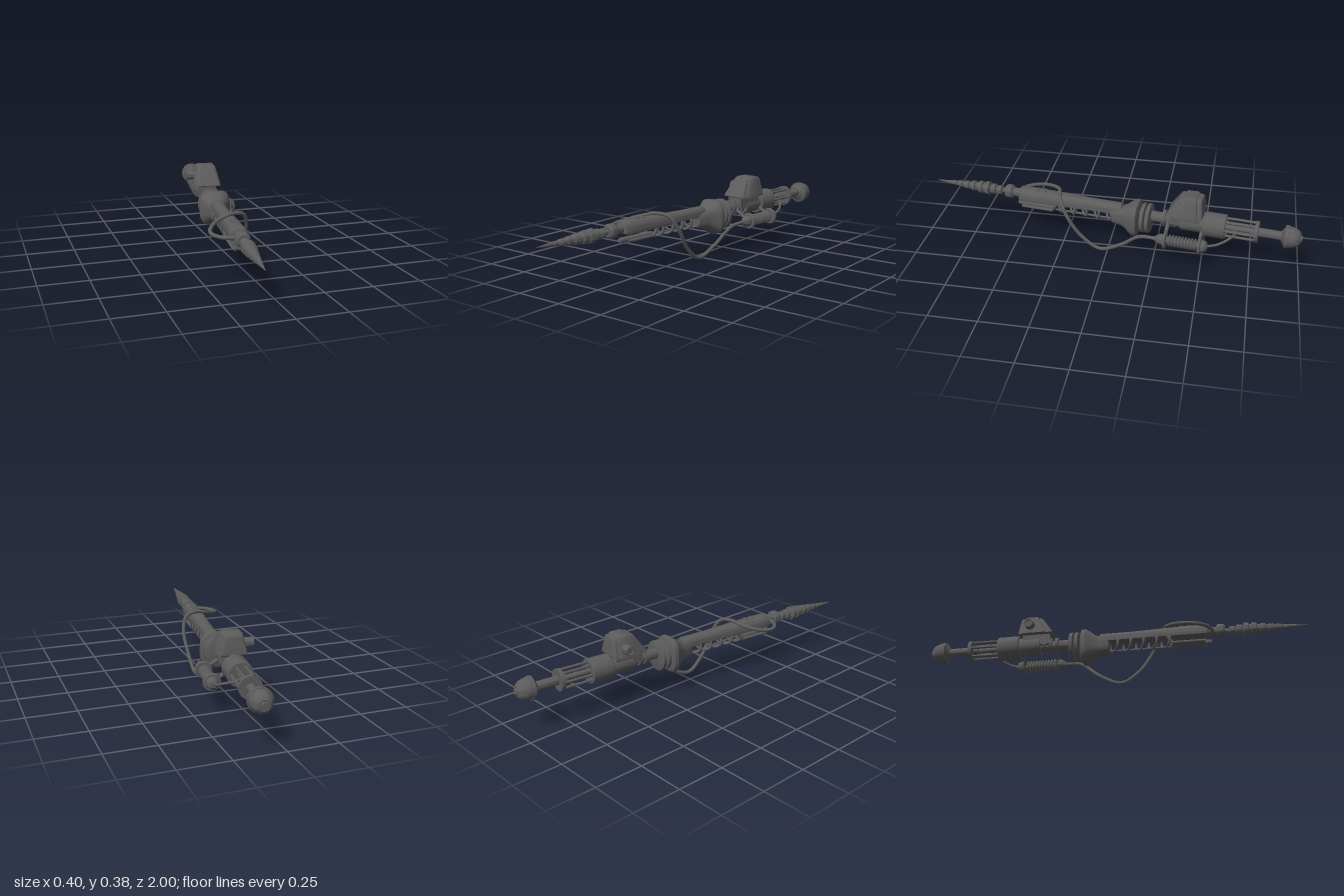
import * as THREE from 'three';
import { toCreasedNormals, mergeVertices } from 'three/addons/utils/BufferGeometryUtils.js';

const darkGrey = new THREE.MeshStandardMaterial({ color: 0x5c5c5c, side: THREE.DoubleSide });

function add(parent, name, geo, x = 0, y = 0, z = 0) {
  const m = new THREE.Mesh(geo, darkGrey);
  m.name = name;
  m.position.set(x, y, z);
  parent.add(m);
  return m;
}

// Turned part along z from [z, radius] pairs, rear to front
function turned(profile, sides = 28) {
  const pts = profile.map(([z, r]) => new THREE.Vector2(Math.max(r, 0.0001), z));
  return toCreasedNormals(new THREE.LatheGeometry(pts, sides).rotateX(Math.PI / 2), 0.6);
}

const rod = (r, z0, z1, sides = 20) => turned([[z0, 0], [z0, r], [z1, r], [z1, 0]], sides);

// Tube between two points
function strut(parent, name, a, b, r) {
  const path = new THREE.LineCurve3(new THREE.Vector3(...a), new THREE.Vector3(...b));
  return add(parent, name, new THREE.TubeGeometry(path, 1, r, 10));
}

// Hose whose radius dips in regular grooves
function ribbedHose(points, r, ribs) {
  const curve = new THREE.CatmullRomCurve3(points.map(p => new THREE.Vector3(...p)), false, 'centripetal');
  const n = ribs * 4, sides = 12;
  const geo = new THREE.TubeGeometry(curve, n, r, sides);
  const pos = geo.attributes.position, v = new THREE.Vector3();
  for (let i = 0; i <= n; i++) {
    const c = curve.getPointAt(i / n), k = i % 4 === 0 ? 0.86 : 1;
    for (let j = 0; j <= sides; j++) {
      const id = i * (sides + 1) + j;
      v.fromBufferAttribute(pos, id).sub(c).multiplyScalar(k).add(c);
      pos.setXYZ(id, v.x, v.y, v.z);
    }
  }
  geo.computeVertexNormals();
  return geo;
}

// Tapered housing slab: trapezoid section, front and rear faces leaning inward
function housingSlab(grow, z0, z1, lean) {
  const s = new THREE.Shape();
  const b = 0.069 + grow, t = 0.044 + grow, h = 0.102 + grow;
  s.moveTo(-b, 0);
  s.lineTo(b, 0);
  s.lineTo(b - 0.002, 0.018);
  s.lineTo(t + 0.004, h - 0.016);
  s.quadraticCurveTo(t, h, t - 0.014, h);
  s.lineTo(-t + 0.014, h);
  s.quadraticCurveTo(-t, h, -t - 0.004, h - 0.016);
  s.lineTo(-b + 0.002, 0.018);
  const bev = 0.012;
  const geo = new THREE.ExtrudeGeometry(s, {
    depth: z1 - z0 - 2 * bev, bevelThickness: bev, bevelSize: bev, bevelOffset: -bev, bevelSegments: 3, curveSegments: 5,
  }).translate(0, 0, z0 + bev);
  const p = geo.attributes.position;
  for (let i = 0; i < p.count; i++) {
    const f = (p.getZ(i) - z0) / (z1 - z0);
    const up = Math.max(0, p.getY(i)) / h;
    p.setZ(i, p.getZ(i) + up * ((1 - f) * 0.012 - f * lean));
  }
  geo.deleteAttribute('normal');
  geo.deleteAttribute('uv');
  return toCreasedNormals(mergeVertices(geo), 0.6);
}

export function createModel() {
  const model = new THREE.Group();
  model.name = 'device';
  const gun = new THREE.Group();
  gun.name = 'mainShaft';
  gun.position.x = -0.016;
  gun.rotation.y = -0.1235;
  model.add(gun);

  // Stepped pointed tip
  const steps = [[0.61, 0.025], [0.645, 0.029], [0.68, 0.037], [0.72, 0.034], [0.765, 0.028], [0.805, 0.023], [0.845, 0.018], [0.88, 0.013]];
  const tip = [[0.57, 0], [0.57, 0.012], [0.605, 0.012]];
  steps.forEach(([z, r]) => tip.push([z, r * 0.78], [z + 0.003, r], [z + 0.026, r * 0.93], [z + 0.031, r * 0.75]));
  tip.push([0.915, 0.011], [1.007, 0]);
  add(gun, 'tip', turned(tip), 0, 0.23, 0);
  add(gun, 'tipCollar', turned([[0.542, 0], [0.542, 0.03], [0.55, 0.037], [0.578, 0.037], [0.588, 0.028], [0.588, 0]]), 0, 0.232, 0);
  add(gun, 'tipRod', rod(0.024, 0.46, 0.55), 0, 0.232, 0);

  // Barrel shell: arched section that narrows toward the rear
  const arch = new THREE.Shape();
  arch.moveTo(-0.042, -0.022);
  arch.lineTo(0.042, -0.022);
  arch.quadraticCurveTo(0.048, 0.012, 0.028, 0.032);
  arch.quadraticCurveTo(0, 0.046, -0.028, 0.032);
  arch.quadraticCurveTo(-0.048, 0.012, -0.042, -0.022);
  const shell = new THREE.ExtrudeGeometry(arch, { depth: 0.55, steps: 12, bevelThickness: 0.012, bevelSize: 0.008, bevelOffset: -0.008, bevelSegments: 2 });
  const sp = shell.attributes.position;
  for (let i = 0; i < sp.count; i++) {
    const k = 0.83 + 0.2 * THREE.MathUtils.smoothstep(sp.getZ(i), 0.1, 0.5);
    sp.setX(i, sp.getX(i) * k);
    sp.setY(i, sp.getY(i) * k);
  }
  add(gun, 'barrelShell', toCreasedNormals(shell, 0.6), 0, 0.23, -0.06);
  for (const z of [0.36, 0.4]) add(gun, 'barrelRidge', new THREE.BoxGeometry(0.036, 0.008, 0.012), 0, 0.268, z);

  // Lower front jaw: curved trough with a tube inside
  const trough = new THREE.CylinderGeometry(0.042, 0.042, 0.17, 20, 1, true, -0.9, 1.8).rotateX(Math.PI / 2);
  add(gun, 'jawTrough', trough, 0, 0.2, 0.4);
  for (const s of [-1, 1]) {
    strut(gun, 'jawRail', [s * 0.031, 0.172, 0.485], [s * 0.031, 0.172, 0.31], 0.008);
    strut(gun, 'jawStrut', [s * 0.031, 0.172, 0.315], [s * 0.034, 0.222, 0.28], 0.009);
  }
  add(gun, 'jawTube', turned([[0.3, 0], [0.3, 0.014], [0.49, 0.014], [0.515, 0.011], [0.522, 0]]), 0, 0.174, 0);

  // Row of slanted hoops below the barrel
  for (let i = 0; i < 5; i++) {
    const hoop = add(gun, 'hoop', new THREE.TorusGeometry(0.036, 0.0065, 10, 28), 0, 0.196, 0.005 + i * 0.068);
    hoop.rotation.y = 0.6;
    hoop.scale.x = 1.25;
  }
  strut(gun, 'hoopRail', [0, 0.162, -0.04], [0, 0.162, 0.31], 0.006);

  // Flared bell with a squared section
  const bell = turned([[-0.168, 0], [-0.168, 0.078], [-0.16, 0.091], [-0.14, 0.093], [-0.12, 0.08], [-0.095, 0.061], [-0.07, 0.051], [-0.03, 0.046], [-0.02, 0.04], [-0.02, 0]], 40);
  const bp = bell.attributes.position;
  for (let i = 0; i < bp.count; i++) {
    const x = bp.getX(i), y = bp.getY(i), r = Math.hypot(x, y);
    const k = Math.pow(Math.abs(x / r) ** 3 + Math.abs(y / r) ** 3, -1 / 3);
    bp.setXY(i, x * k * 0.9, y * k);
  }
  add(gun, 'bell', toCreasedNormals(bell, 0.6), 0.003, 0.195, 0);

  // Twin discs and neck
  for (const z of [-0.189, -0.218]) {
    add(gun, 'disc', turned([[-0.013, 0], [-0.013, 0.068], [-0.008, 0.079], [0.008, 0.079], [0.013, 0.068], [0.013, 0]]), 0.002, 0.202, z);
  }
  add(gun, 'neck', rod(0.028, -0.52, -0.14), 0, 0.218, 0);
  for (const z of [-0.3, -0.335, -0.37]) add(gun, 'neckCollar', rod(0.04, z - 0.009, z + 0.009), 0, 0.222, 0);

  // Receiver and raised housing
  add(gun, 'receiver', rod(0.05, -0.52, -0.39), 0, 0.222, 0);
  add(gun, 'housingBase', new THREE.BoxGeometry(0.09, 0.07, 0.15), 0.002, 0.25, -0.41);
  const housing = new THREE.Group();
  housing.name = 'housing';
  housing.position.set(0.002, 0.273, 0);
  gun.add(housing);
  add(housing, 'housingCore', housingSlab(0, -0.508, -0.315, 0.068));
  add(housing, 'housingBand', housingSlab(0.006, -0.483, -0.345, 0.06));
  const knob = add(gun, 'sideKnob', turned([[0, 0.025], [0.065, 0.025], [0.065, 0.017], [0.055, 0.017], [0.055, 0]]), -0.042, 0.318, -0.44);
  knob.rotation.y = -Math.PI / 2;

  // Rear drum and open rod cage
  add(gun, 'rearDrum', turned([[-0.622, 0.05], [-0.622, 0.06], [-0.618, 0.064], [-0.51, 0.064], [-0.505, 0.06], [-0.505, 0]], 32), 0, 0.222, 0);
  add(gun, 'drumBack', rod(0.052, -0.612, -0.56), 0, 0.222, 0);
  for (let i = 0; i < 6; i++) {
    const a = i * Math.PI / 3;
    add(gun, 'cageRod', rod(0.007, -0.775, -0.6, 10), Math.cos(a) * 0.045, 0.222 + Math.sin(a) * 0.045, 0);
  }
  add(gun, 'cageRing', rod(0.056, -0.787, -0.768, 28), 0, 0.222, 0);
  add(gun, 'cageCore', rod(0.014, -0.78, -0.6), 0, 0.222, 0);
  add(gun, 'rearShaft', rod(0.023, -0.93, -0.74), 0, 0.222, 0);

  // Domed pommel
  const dome = [[-1.004, 0], [-1.004, 0.016], [-0.996, 0.018]];
  for (let i = 1; i <= 6; i++) {
    const a = i / 6 * Math.PI / 2;
    dome.push([-0.935 - 0.063 * Math.cos(a), 0.018 + 0.037 * Math.sin(a)]);
  }
  dome.push([-0.935, 0.059], [-0.918, 0.059], [-0.914, 0.045], [-0.9, 0.028], [-0.9, 0]);
  add(gun, 'pommel', turned(dome), 0, 0.222, 0);

  // Side coil unit
  const unit = new THREE.Group();
  unit.name = 'coilUnit';
  unit.position.set(0.11, 0.156, 0);
  gun.add(unit);
  add(unit, 'coilCore', rod(0.019, -0.52, -0.3));
  for (let i = 0; i < 9; i++) add(unit, 'coilTurn', new THREE.TorusGeometry(0.025, 0.0065, 8, 24), 0, 0, -0.355 - i * 0.0165);
  for (const z of [-0.33, -0.51]) {
    add(unit, 'coilFlange', turned([[-0.008, 0], [-0.008, 0.04], [-0.004, 0.045], [0.004, 0.045], [0.008, 0.04], [0.008, 0]]), 0, 0, z);
  }
  add(unit, 'frontCap', turned([[-0.325, 0.03], [-0.305, 0.028], [-0.29, 0.02], [-0.275, 0.012], [-0.275, 0]]));
  add(unit, 'rearCap', turned([[-0.55, 0], [-0.55, 0.015], [-0.54, 0.028], [-0.518, 0.032]]));
  for (const z of [-0.325, -0.505]) strut(gun, 'coilBracket', [0.11, 0.156, z], [0.02, 0.21, z], 0.01);

  // Hoses
  add(model, 'longHose', ribbedHose([
    [0.133, 0.158, -0.27], [0.11, 0.145, -0.18], [0.075, 0.06, -0.075], [0.056, 0.011, 0.04], [0.056, 0.08, 0.14],
    [0.058, 0.195, 0.215], [0.03, 0.262, 0.25], [-0.03, 0.277, 0.27], [-0.1, 0.263, 0.288], [-0.165, 0.243, 0.34],
    [-0.192, 0.23, 0.41], [-0.165, 0.227, 0.48], [-0.12, 0.228, 0.51], [-0.075, 0.23, 0.52],
  ], 0.01, 100));
  add(model, 'shortHose', ribbedHose([
    [0.16, 0.158, -0.53], [0.162, 0.175, -0.58], [0.14, 0.2, -0.635], [0.105, 0.215, -0.665], [0.07, 0.22, -0.65], [0.058, 0.222, -0.6],
  ], 0.007, 28));

  return model;
}
